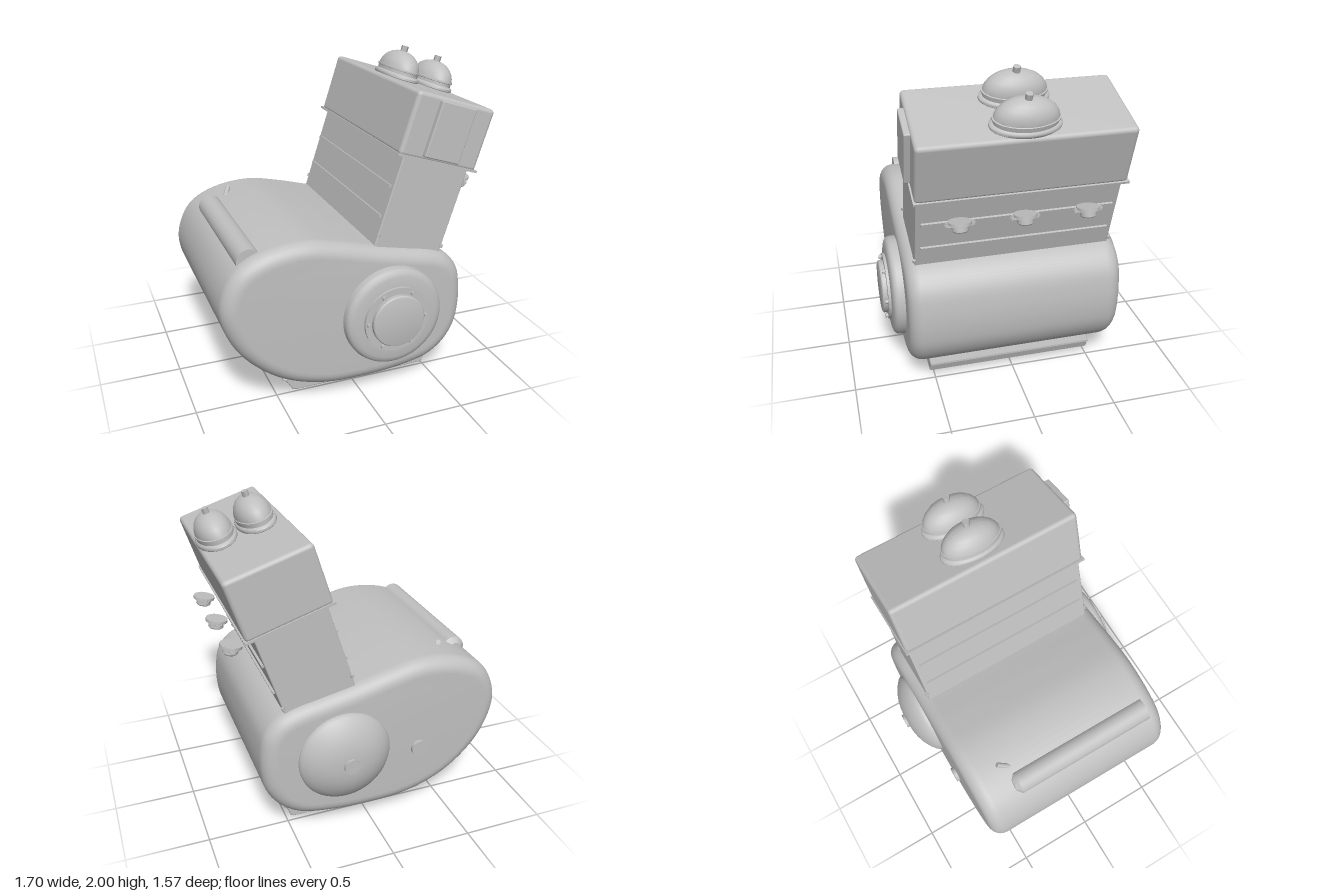
import * as THREE from 'three';
import { toCreasedNormals } from 'three/addons/utils/BufferGeometryUtils.js';
import { RoundedBoxGeometry } from 'three/addons/geometries/RoundedBoxGeometry.js';

const V2 = (p) => new THREE.Vector2(p[0], p[1]);

export function createModel() {
  const metal = new THREE.MeshStandardMaterial({ color: 0xc0c0c0 });
  metal.name = 'cast grey metal';
  const model = new THREE.Group();
  model.name = 'engine';

  const add = (parent, name, geometry, x = 0, y = 0, z = 0) => {
    const mesh = new THREE.Mesh(geometry, metal);
    mesh.name = name;
    mesh.position.set(x, y, z);
    parent.add(mesh);
    return mesh;
  };
  const group = (parent, name, x, y, z) => {
    const g = new THREE.Group();
    g.name = name;
    g.position.set(x, y, z);
    parent.add(g);
    return g;
  };
  const lathe = (points, segments = 48) =>
    toCreasedNormals(new THREE.LatheGeometry(points.map(V2), segments), 0.6);
  const cyl = (r, h, sides = 24) => new THREE.CylinderGeometry(r, r, h, sides);

  // Crankcase: egg-shaped side profile with rounded rims
  const outline = [
    [-0.85, 0.66], [-0.82, 0.82], [-0.74, 0.935], [-0.58, 1.015], [-0.34, 1.045], [-0.12, 1.005],
    [0.09, 0.95], [0.3, 0.905], [0.48, 0.865], [0.58, 0.815], [0.65, 0.725], [0.676, 0.6],
    [0.676, 0.45], [0.65, 0.33], [0.58, 0.22], [0.46, 0.135], [0.25, 0.09], [0.0, 0.077],
    [-0.24, 0.092], [-0.47, 0.165], [-0.65, 0.29], [-0.78, 0.45],
  ].reverse();
  const curve = new THREE.CatmullRomCurve3(
    outline.map(([x, y]) => new THREE.Vector3(x, y, 0)), true, 'centripetal');
  const caseShape = new THREE.Shape(curve.getPoints(120).slice(0, -1).map((p) => new THREE.Vector2(p.x, p.y)));
  const bevel = 0.09;
  const caseGeometry = new THREE.ExtrudeGeometry(caseShape, {
    depth: 1.31 - 2 * bevel, bevelEnabled: true, bevelThickness: bevel,
    bevelSize: bevel, bevelOffset: -bevel, bevelSegments: 8,
  });
  caseGeometry.translate(0, 0, -0.65 + bevel);
  add(model, 'crankcase', toCreasedNormals(caseGeometry, 0.6));

  // Round front cover with stepped hub and six bolts
  const cover = group(model, 'frontCover', 0.18, 0.52, 0);
  cover.rotation.x = Math.PI / 2;
  add(cover, 'coverDisc', lathe([
    [0.31, 0.6], [0.31, 0.695], [0.304, 0.712], [0.29, 0.724], [0.265, 0.731],
    [0.207, 0.734], [0.207, 0.75], [0.165, 0.75], [0.165, 0.772], [0.16, 0.779], [0.15, 0.782], [0, 0.782],
  ], 64));
  for (let i = 0; i < 6; i++) {
    const a = (i * Math.PI) / 3;
    add(cover, 'coverBolt', cyl(0.013, 0.03, 8), Math.cos(a) * 0.185, 0.753, Math.sin(a) * 0.185);
  }

  // Domed rear cover and small plug
  const rear = group(model, 'rearCover', 0.18, 0.52, 0);
  rear.rotation.x = -Math.PI / 2;
  add(rear, 'rearDome', lathe([
    [0.288, 0.6], [0.288, 0.663], [0.275, 0.682], [0.24, 0.71], [0.19, 0.738],
    [0.14, 0.756], [0.09, 0.766], [0.05, 0.769], [0, 0.77],
  ], 64));
  add(rear, 'rearNut', cyl(0.048, 0.04, 16), 0, 0.765, 0);
  add(model, 'rearPlug', cyl(0.05, 0.06), -0.31, 0.46, -0.642).rotation.x = Math.PI / 2;

  // Breather tube along the upper left edge, with a small peg
  add(model, 'breatherTube', lathe([
    [0, -0.41], [0.045, -0.405], [0.075, -0.375], [0.075, 0.56], [0, 0.56],
  ], 32), -0.66, 0.955, 0).rotation.x = Math.PI / 2;
  const peg = add(model, 'peg', cyl(0.016, 0.1, 12), -0.54, 1.025, -0.4);
  peg.quaternion.setFromUnitVectors(new THREE.Vector3(0, 1, 0), new THREE.Vector3(0.4, 0.45, -0.75).normalize());

  // Sump tray with end lips and drain plug
  const sump = new THREE.Shape([
    [-0.465, 0.12], [-0.465, 0.108], [-0.445, 0.1], [-0.405, 0.035], [-0.385, 0.03],
    [0.465, 0.035], [0.482, 0.045], [0.505, 0.105], [0.522, 0.11], [0.522, 0.122],
  ].map(V2));
  add(model, 'sump', new THREE.ExtrudeGeometry(sump, {
    depth: 1.02, bevelThickness: 0.01, bevelSize: 0.006, bevelOffset: -0.006, bevelSegments: 2,
  }), 0, 0, -0.5);
  add(model, 'drainPlug', cyl(0.026, 0.05, 16), 0.03, 0.025, 0.01);
  for (const z of [-0.51, 0.53]) add(model, 'sumpScrew', cyl(0.012, 0.04, 8), 0.16, 0.12, z);

  // Inclined cylinder block and head
  const tower = group(model, 'cylinderTower', 0.31, 0.907, 0.007);
  tower.rotation.z = -0.308;
  add(tower, 'cylinderBlock', new RoundedBoxGeometry(0.446, 0.7, 1.185, 2, 0.008), 0, 0.2, 0);
  for (const v of [0.147, 0.335])
    for (const side of [-1, 1])
      add(tower, 'blockRib', new THREE.BoxGeometry(0.03, 0.016, 1.125), side * 0.222, v, 0);
  add(tower, 'headFlange', new THREE.BoxGeometry(0.545, 0.014, 1.225), 0.003, 0.533, 0);
  add(tower, 'cylinderHead', new RoundedBoxGeometry(0.528, 0.38, 1.21, 4, 0.025), 0.003, 0.718, 0);
  add(tower, 'sidePanel', new RoundedBoxGeometry(0.235, 0.335, 0.06, 2, 0.008), 0.003, 0.722, 0.608);
  for (const x of [-0.22, 0.22])
    for (const z of [-0.6, 0.6]) add(tower, 'baseScrew', cyl(0.01, 0.02, 8), x, 0.04, z * 0.99);

  // Two oval domes on the head
  const domeGeometry = lathe([
    [0.97, 0], [1, 0.006], [1, 0.018], [0.97, 0.026], [0.9, 0.032], [0.9, 0.05], [0.94, 0.052],
    [0.94, 0.062], [0.9, 0.064], [0.87, 0.085], [0.79, 0.11], [0.66, 0.134], [0.48, 0.153], [0.26, 0.165], [0, 0.169],
  ]);
  domeGeometry.scale(0.121, 1, 0.2);
  domeGeometry.deleteAttribute('normal');
  const smoothDome = toCreasedNormals(domeGeometry, 0.6);
  for (const u of [-0.105, 0.143]) {
    const dome = group(tower, 'headDome', u, 0.905, 0);
    add(dome, 'domeShell', smoothDome);
    add(dome, 'domeNut', cyl(0.022, 0.04, 6), 0, 0.18, 0);
  }

  // Row of three separate flanged inlets beside the block
  for (const z of [-0.355, 0.01, 0.375]) {
    const inlet = group(model, 'inlet', 0.76, 1.2, z);
    inlet.rotation.z = 0.17;
    const ears = cyl(0.045, 0.01, 24);
    ears.scale(0.8, 1, 1.95);
    add(inlet, 'inletEars', ears, 0, 0.006, 0);
    add(inlet, 'inletDisc', cyl(0.066, 0.018), 0, 0.016, 0);
    add(inlet, 'inletBody', lathe([[0, -0.034], [0.04, -0.034], [0.046, -0.027], [0.046, 0.01]], 24));
    for (const s of [-1, 1]) add(inlet, 'inletBolt', cyl(0.009, 0.025, 8), 0, 0.008, s * 0.072);
  }
  return model;
}
